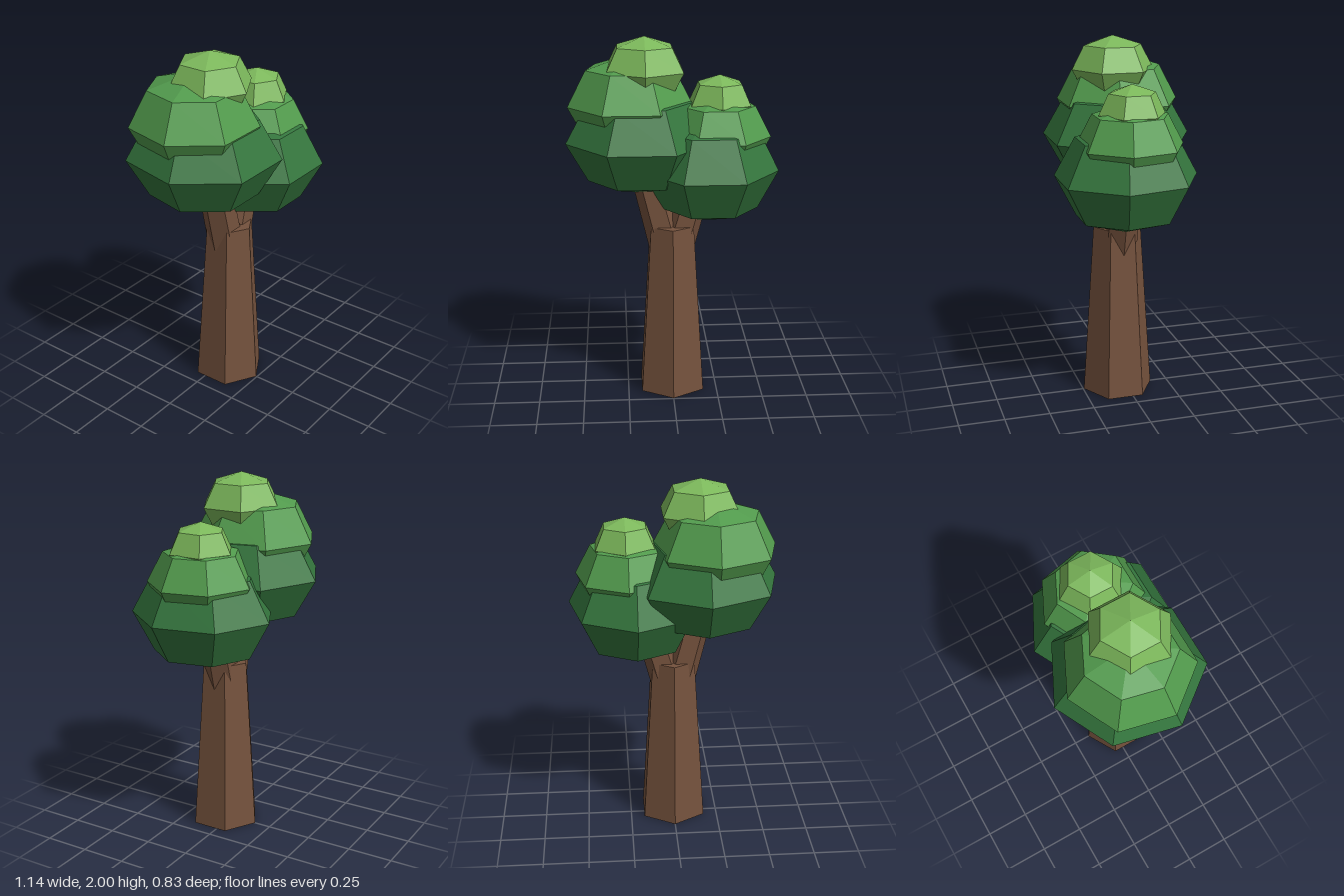
import * as THREE from 'three';

function material(name, color) {
  const m = new THREE.MeshStandardMaterial({ color, flatShading: true });
  m.name = name;
  return m;
}

export function createModel() {
  const bark = material('bark brown', 0x75523d);
  const dark = material('dark leaf green', 0x34753d);
  const mid = material('mid leaf green', 0x529b4d);
  const light = material('light leaf green', 0x7cb85b);

  const tree = new THREE.Group();
  tree.name = 'tree';

  function add(name, geometry, mat, x, y, z) {
    const mesh = new THREE.Mesh(geometry, mat);
    mesh.name = name;
    mesh.position.set(x, y, z);
    tree.add(mesh);
    return mesh;
  }

  // Tapered six-sided trunk, one corner facing the front
  add('trunk', new THREE.CylinderGeometry(0.135, 0.2, 0.97, 6), bark, 0, 0.485, 0.045);

  // Two short branches leaning out of the trunk top
  function branch(name, from, to) {
    const a = new THREE.Vector3(...from);
    const b = new THREE.Vector3(...to);
    const dir = b.clone().sub(a);
    const geometry = new THREE.CylinderGeometry(0.09, 0.1, dir.length(), 6);
    geometry.rotateY(Math.PI / 6);
    const c = a.clone().add(b).multiplyScalar(0.5);
    const mesh = add(name, geometry, bark, c.x, c.y, c.z);
    mesh.quaternion.setFromUnitVectors(new THREE.Vector3(0, 1, 0), dir.normalize());
  }
  branch('rightBranch', [-0.02, 0.82, 0.04], [-0.14, 1.28, 0.04]);
  branch('leftBranch', [0.02, 0.82, 0.04], [0.13, 1.2, 0.04]);

  // Faceted leaf clump: a coarse flattened ball with one corner facing the back
  function clump(name, mat, sides, [x, y, z], [rx, ry, rz]) {
    const geometry = new THREE.SphereGeometry(1, sides, 4, -Math.PI / 2);
    geometry.scale(rx, ry, rz);
    add(name, geometry, mat, x, y, z);
  }
  // Taller crown on the right side
  clump('rightLowerLeaves', dark, 7, [-0.17, 1.44, 0], [0.41, 0.3, 0.42]);
  clump('rightMiddleLeaves', mid, 7, [-0.22, 1.63, -0.02], [0.345, 0.27, 0.345]);
  clump('rightTopLeaves', light, 6, [-0.145, 1.82, 0.027], [0.235, 0.18, 0.228]);
  // Shorter crown on the left side
  clump('leftLowerLeaves', dark, 7, [0.205, 1.29, 0.05], [0.375, 0.3, 0.395]);
  clump('leftMiddleLeaves', mid, 7, [0.245, 1.47, 0.04], [0.29, 0.23, 0.29]);
  clump('leftTopLeaves', light, 6, [0.257, 1.64, 0.035], [0.182, 0.155, 0.18]);

  return tree;
}
